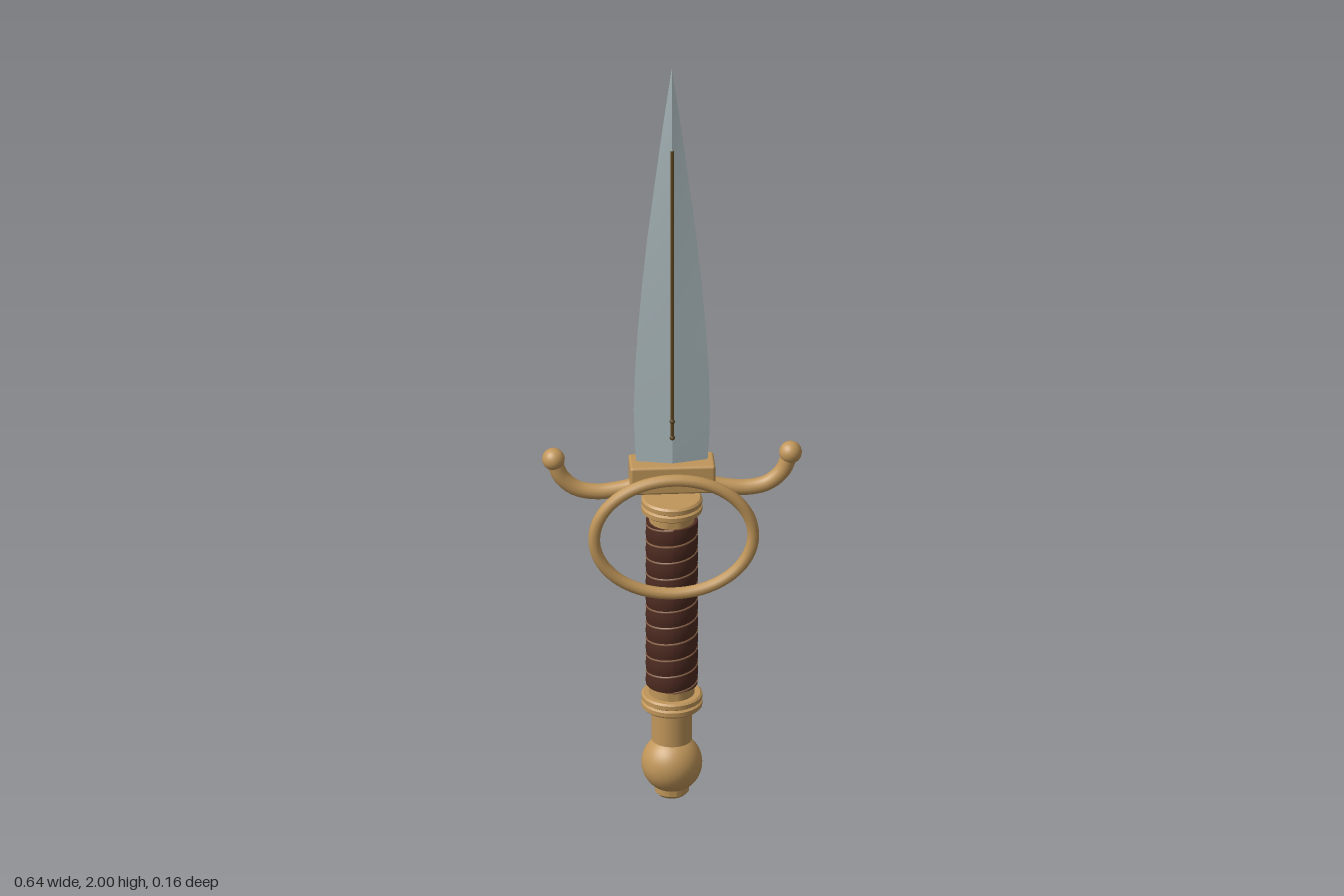
import * as THREE from 'three';
import { RoundedBoxGeometry } from 'three/addons/geometries/RoundedBoxGeometry.js';
import { toCreasedNormals } from 'three/addons/utils/BufferGeometryUtils.js';

const brass = new THREE.MeshStandardMaterial({ color: 0xc0965a });
brass.name = 'brass';
const steel = new THREE.MeshStandardMaterial({ color: 0xacbabe });
steel.name = 'steel';
const leather = new THREE.MeshStandardMaterial({ color: 0x4c2a20 });
leather.name = 'leather';
const bronze = new THREE.MeshStandardMaterial({ color: 0x5e4520 });
bronze.name = 'darkBronze';
const wireMat = new THREE.MeshStandardMaterial({ color: 0x8a6248 });
wireMat.name = 'gripWire';

const AXIS_Z = -0.006; // the blade and hilt sit slightly behind the ring

function part(parent, name, geometry, material, x = 0, y = 0, z = 0) {
  const mesh = new THREE.Mesh(geometry, material);
  mesh.name = name;
  mesh.position.set(x, y, z);
  parent.add(mesh);
  return mesh;
}

// Turned part from [radius, height] pairs, with sharp edges kept
function turned(pairs) {
  const points = pairs.map(([r, y]) => new THREE.Vector2(r, y));
  return toCreasedNormals(new THREE.LatheGeometry(points, 40), 0.6);
}

// Blade stations: height, half width, half thickness
const STATIONS = [
  [0.9, 0.087, 0.019], [0.98, 0.092, 0.019], [1.06, 0.094, 0.019], [1.16, 0.091, 0.019],
  [1.28, 0.084, 0.018], [1.41, 0.073, 0.017], [1.54, 0.06, 0.016], [1.67, 0.044, 0.013],
  [1.79, 0.029, 0.01], [1.9, 0.0145, 0.006], [2.0, 0.0005, 0.0005],
];

// Diamond cross-sections joined into a double-edged blade
function bladeGeometry() {
  const positions = [];
  const index = [];
  for (const [y, w, t] of STATIONS) positions.push(w, y, 0, 0, y, t, -w, y, 0, 0, y, -t);
  for (let i = 0; i < STATIONS.length - 1; i++) {
    for (let k = 0; k < 4; k++) {
      const a = i * 4 + k;
      const b = i * 4 + ((k + 1) % 4);
      index.push(a, a + 4, b, b, a + 4, b + 4);
    }
  }
  index.push(0, 1, 2, 0, 2, 3);
  const top = (STATIONS.length - 1) * 4;
  index.push(top, top + 2, top + 1, top, top + 3, top + 2);
  const geometry = new THREE.BufferGeometry();
  geometry.setAttribute('position', new THREE.Float32BufferAttribute(positions, 3));
  geometry.setIndex(index);
  // Wind outward: the rings run from +x through +z, clockwise seen from above
  return toCreasedNormals(geometry, 0.2);
}

// Front ridge of the blade at a given height
function ridgeAt(y) {
  for (let i = 1; i < STATIONS.length; i++) {
    const [y0, , t0] = STATIONS[i - 1];
    const [y1, , t1] = STATIONS[i];
    if (y <= y1) return t0 + ((t1 - t0) * (y - y0)) / (y1 - y0);
  }
  return 0;
}

export function createModel() {
  const model = new THREE.Group();
  model.name = 'dagger';
  const hilt = new THREE.Group();
  hilt.name = 'hilt';
  hilt.position.z = AXIS_Z;
  model.add(hilt);

  // Blade with a dark inlaid line on its front ridge
  const blade = new THREE.Group();
  blade.name = 'blade';
  blade.position.z = AXIS_Z;
  model.add(blade);
  part(blade, 'bladeBody', bladeGeometry(), steel);
  const ridge = [];
  for (let i = 0; i <= 12; i++) {
    const y = 0.985 + (0.795 * i) / 12;
    ridge.push(new THREE.Vector3(0, y, ridgeAt(y) - 0.002));
  }
  const line = new THREE.TubeGeometry(new THREE.CatmullRomCurve3(ridge), 24, 0.005, 6);
  part(blade, 'bladeInlay', line, bronze);
  for (const y of [0.99, 1.035]) {
    part(blade, 'inlayBead', new THREE.SphereGeometry(0.007, 10, 8), bronze, 0, y, ridgeAt(y) - 0.002);
  }

  // Guard block
  part(hilt, 'guardBlock', new RoundedBoxGeometry(0.21, 0.075, 0.084, 2, 0.007), brass, 0, 0.882, 0);

  // Curved guard arms with ball ends
  for (const side of [1, -1]) {
    const path = new THREE.CatmullRomCurve3(
      [[0.07, 0.862], [0.125, 0.848], [0.185, 0.842], [0.235, 0.853], [0.272, 0.885], [0.292, 0.935]]
        .map(([x, y]) => new THREE.Vector3(side * x, y, 0)));
    part(model, 'guardArm', new THREE.TubeGeometry(path, 32, 0.02, 14), brass);
    part(model, 'guardArmRoot', new THREE.SphereGeometry(0.02, 14, 10), brass, side * 0.07, 0.862, 0);
    part(model, 'guardBall', new THREE.SphereGeometry(0.028, 24, 16), brass, side * 0.292, 0.935, 0);
  }

  // Oval side ring in front of the grip
  class Oval extends THREE.Curve {
    getPoint(t, target = new THREE.Vector3()) {
      const a = t * Math.PI * 2;
      return target.set(0.196 * Math.cos(a), 0.156 * Math.sin(a), 0);
    }
  }
  part(model, 'sideRing', new THREE.TubeGeometry(new Oval(), 64, 0.015, 10, true), brass, 0, 0.744, 0.067);

  // Collars above and below the grip
  const collar = [
    [0, 0.752], [0.056, 0.752], [0.056, 0.78], [0.07, 0.78], [0.075, 0.784], [0.075, 0.795],
    [0.069, 0.799], [0.075, 0.803], [0.075, 0.814], [0.07, 0.819], [0, 0.819],
  ];
  part(hilt, 'upperCollar', turned(collar), brass);
  const lower = collar.map(([r, y]) => [r, 1.059 - y]).reverse();
  part(hilt, 'lowerCollar', turned(lower), brass);

  // Leather grip, slightly swollen between the wire turns
  const turns = 10;
  const gripBottom = 0.305;
  const gripHeight = 0.45;
  const grip = new THREE.CylinderGeometry(0.062, 0.062, gripHeight, 40, 80);
  const p = grip.attributes.position;
  for (let i = 0; i < p.count; i++) {
    const radius = Math.hypot(p.getX(i), p.getZ(i));
    if (radius < 0.01) continue;
    const angle = Math.atan2(p.getX(i), p.getZ(i));
    const phase = (p.getY(i) / gripHeight + 0.5) * turns * Math.PI * 2 - angle;
    const k = 1 + 0.04 * Math.abs(Math.sin(phase / 2));
    p.setX(i, p.getX(i) * k);
    p.setZ(i, p.getZ(i) * k);
  }
  grip.computeVertexNormals();
  part(hilt, 'grip', grip, leather, 0, gripBottom + gripHeight / 2, 0);

  // Spiral wire lying in the grip grooves
  class Helix extends THREE.Curve {
    getPoint(t, target = new THREE.Vector3()) {
      const a = t * turns * Math.PI * 2;
      return target.set(0.0615 * Math.sin(a), gripBottom + gripHeight * t, 0.0615 * Math.cos(a));
    }
  }
  part(hilt, 'gripWire', new THREE.TubeGeometry(new Helix(), 400, 0.0032, 6), wireMat);

  // Neck, ball pommel and end button
  part(hilt, 'pommelNeck', new THREE.CylinderGeometry(0.05, 0.05, 0.1, 32), brass, 0, 0.2, 0);
  part(hilt, 'pommel', new THREE.SphereGeometry(0.075, 36, 24), brass, 0, 0.085, 0);
  part(hilt, 'pommelButton', turned([[0, 0], [0.034, 0], [0.042, 0.008], [0.042, 0.03], [0, 0.03]]), brass);

  return model;
}
